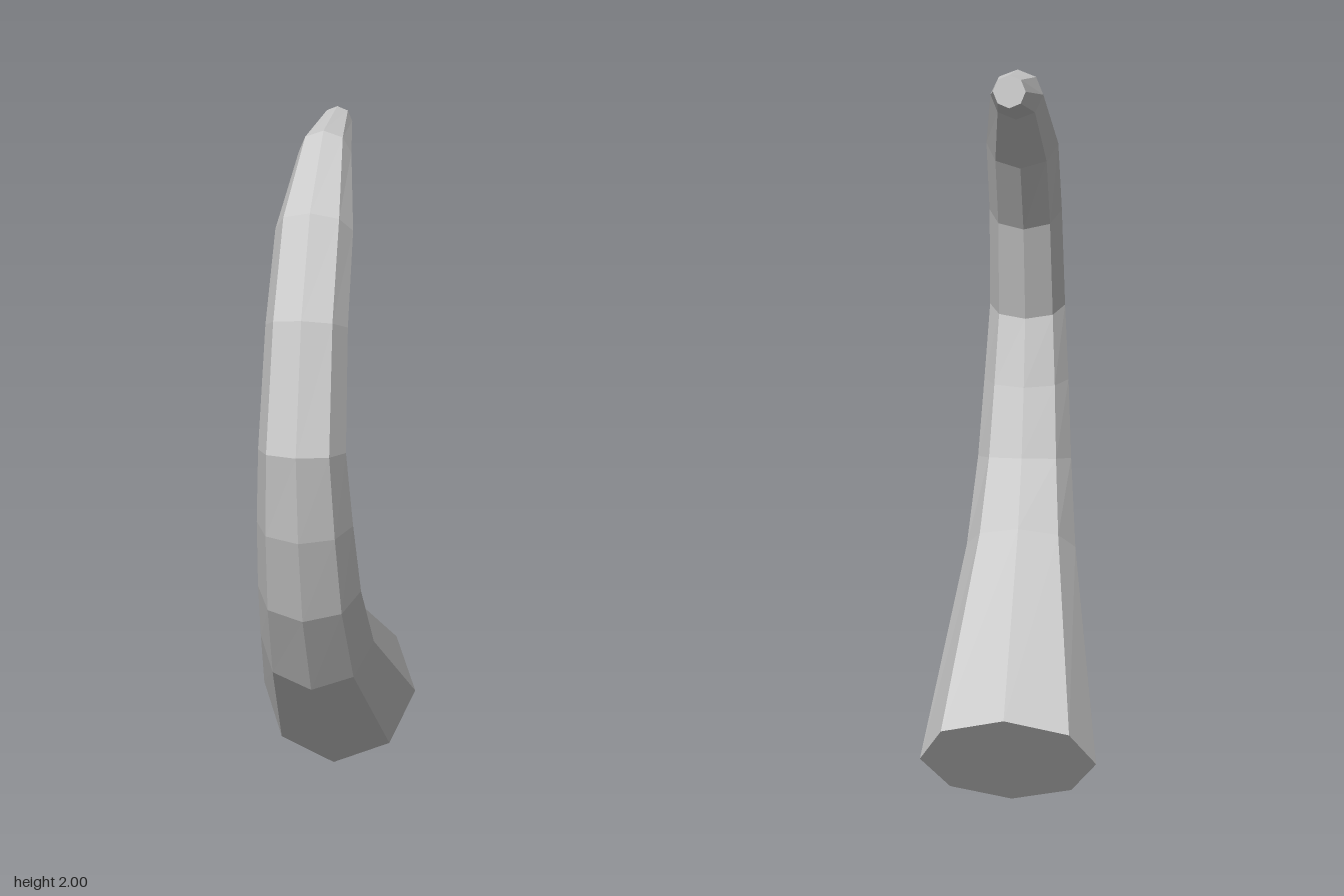
import * as THREE from 'three';

const SIDES = 8;

// Cross-sections from base to tip: [outer z, outer y, inner z, inner y]
const SECTIONS = [
  [-0.245, 0.0, -0.533, 0.378],
  [0.268, 0.512, 0.018, 0.705],
  [0.432, 0.792, 0.167, 0.866],
  [0.506, 1.041, 0.257, 1.052],
  [0.538, 1.28, 0.32, 1.242],
  [0.432, 1.597, 0.241, 1.518],
  [0.268, 1.826, 0.109, 1.709],
  [0.003, 1.984, -0.061, 1.862],
  [-0.294, 2.0, -0.305, 1.92],
];

// Lofts regular octagons through the sections and closes both ends
function hornGeometry() {
  const positions = [];
  const index = [];
  for (const [oz, oy, iz, iy] of SECTIONS) {
    const cz = (oz + iz) / 2, cy = (oy + iy) / 2;
    const uz = (oz - iz) / 2, uy = (oy - iy) / 2;
    const r = Math.hypot(uz, uy);
    for (let j = 0; j < SIDES; j++) {
      const a = (j / SIDES) * Math.PI * 2;
      positions.push(r * Math.sin(a), cy + uy * Math.cos(a), cz + uz * Math.cos(a));
    }
  }
  const last = (SECTIONS.length - 1) * SIDES;
  for (let i = 0; i < last; i += SIDES) {
    for (let j = 0; j < SIDES; j++) {
      const k = (j + 1) % SIDES;
      const a = i + j, b = i + k, c = b + SIDES, d = a + SIDES;
      index.push(a, b, c, a, c, d);
    }
  }
  // Flat end caps
  for (let j = 1; j < SIDES - 1; j++) {
    index.push(0, j + 1, j);
    index.push(last, last + j, last + j + 1);
  }
  const geometry = new THREE.BufferGeometry();
  geometry.setAttribute('position', new THREE.Float32BufferAttribute(positions, 3));
  geometry.setIndex(index);
  const flat = geometry.toNonIndexed();
  flat.computeVertexNormals();
  return flat;
}

export function createModel() {
  const group = new THREE.Group();
  group.name = 'curvedHorn';
  const material = new THREE.MeshStandardMaterial({ color: 0xcccccc, flatShading: true });
  const horn = new THREE.Mesh(hornGeometry(), material);
  horn.name = 'horn';
  group.add(horn);
  return group;
}
